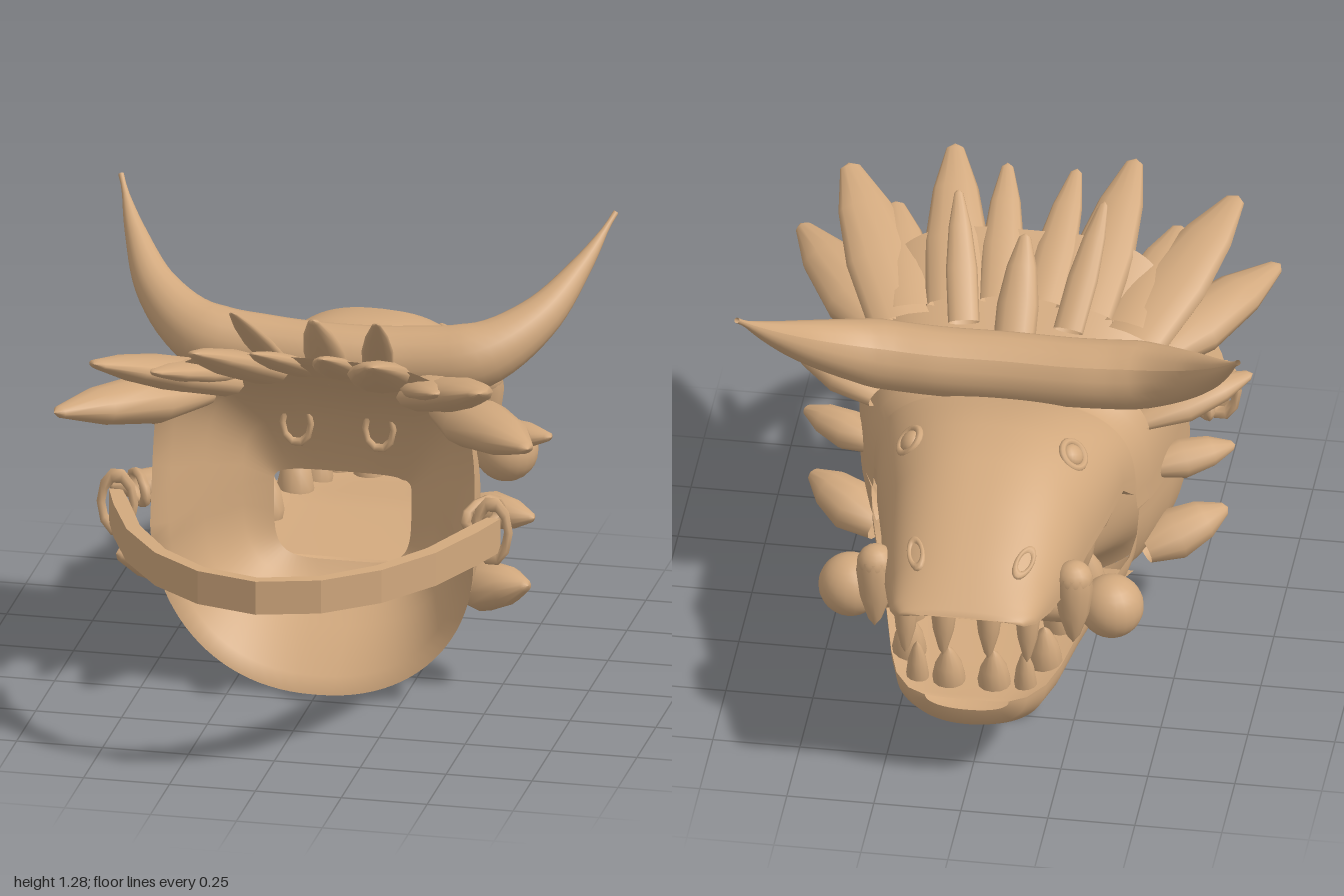
import * as THREE from 'three';

const hide = new THREE.MeshStandardMaterial({ color: 0xd2a97e, side: THREE.DoubleSide });
hide.name = 'tan hide';
const V = (x, y, z) => new THREE.Vector3(x, y, z);

// Smooth surface from a grid of points: at(row, u) with u running 0..1
function gridGeometry(rows, cols, at) {
  const pos = [], idx = [];
  for (let i = 0; i < rows; i++) for (let j = 0; j <= cols; j++) pos.push(...at(i, j / cols));
  for (let i = 0; i < rows - 1; i++) for (let j = 0; j < cols; j++) {
    const a = i * (cols + 1) + j, b = a + cols + 1;
    idx.push(a, a + 1, b, a + 1, b + 1, b);
  }
  const g = new THREE.BufferGeometry();
  g.setAttribute('position', new THREE.Float32BufferAttribute(pos, 3));
  g.setIndex(idx);
  g.computeVertexNormals();
  return g;
}

// Superellipse coordinates on the unit square
function rounded(angle, n) {
  const c = Math.cos(angle), s = Math.sin(angle);
  return [Math.sign(c) * Math.abs(c) ** (2 / n), Math.sign(s) * Math.abs(s) ** (2 / n)];
}

// Arched jaw shell; section = [z, halfWidth, edgeY, crownY, squareness, rimBulge, crownLean]
const jawShell = (sections) => gridGeometry(sections.length, 48, (i, u) => {
  const [z, w, edge, crown, n, bulge = 0, lean = 0] = sections[i];
  const [c, s0] = rounded(Math.PI * u, n), s = Math.max(0, s0);
  return [c * w, edge + (crown - edge) * s, z + bulge * (1 - s) ** 2 + lean * s ** 3];
});

// Inside of the mouth, sunk a little into the jaw
const mouthLining = (sections, sink) => gridGeometry(sections.length, 12, (i, u) => {
  const [z, w, edge, crown] = sections[i], t = 2 * u - 1;
  return [t * w, edge + (crown - edge) * sink * (1 - t ** 4), z];
});

const UPPER = [
  [0.2, 0.47, 0.5, 1.08, 4, 0.06, 0.16], [0.13, 0.465, 0.5, 1.0, 3.8, 0.04, 0.08],
  [0.05, 0.45, 0.5, 0.92, 3.5, 0.03], [-0.08, 0.41, 0.5, 0.85, 3],
  [-0.145, 0.38, 0.5, 0.85, 3], [-0.16, 0.375, 0.58, 0.855, 2.8], [-0.25, 0.355, 0.63, 0.885, 2.5],
  [-0.4, 0.33, 0.62, 0.92, 2.4], [-0.55, 0.295, 0.605, 0.9, 2.4], [-0.7, 0.27, 0.595, 0.84, 2.4],
  [-0.85, 0.235, 0.605, 0.765, 2.4], [-0.95, 0.21, 0.63, 0.7, 2.4], [-0.99, 0.18, 0.645, 0.68, 2.4],
  [-1, 0.13, 0.66, 0.665, 2.4],
];
const LOWER = [
  [0.2, 0.47, 0.5, 0, 2.2, 0.06], [0.05, 0.45, 0.5, 0.055, 2.2, 0.03], [-0.08, 0.41, 0.5, 0.1, 2.2],
  [-0.145, 0.385, 0.5, 0.12, 2.2], [-0.16, 0.38, 0.42, 0.125, 2.2], [-0.2, 0.365, 0.37, 0.14, 2.2],
  [-0.4, 0.315, 0.365, 0.18, 2.2], [-0.55, 0.28, 0.355, 0.17, 2.2], [-0.7, 0.245, 0.325, 0.155, 2.2],
  [-0.8, 0.215, 0.32, 0.165, 2.2], [-0.87, 0.17, 0.32, 0.21, 2.2], [-0.885, 0.12, 0.31, 0.27, 2.2],
];
// Hollow behind the face: [z, halfWidth, bottom, top, lowerSquareness, rimBulge, crownLean]
const HOLLOW = [
  [0.2, 0.47, 0, 1.08, 2.2, 0.06, 0.16], [0.18, 0.42, 0.05, 1.04, 2.3, 0.05, 0.14],
  [0.03, 0.36, 0.15, 0.88, 2.6, 0.02, 0], [-0.1, 0.28, 0.22, 0.72, 3, 0, 0], [-0.15, 0.2, 0.28, 0.55, 5, 0, 0],
];

// Pointed leaf, feather or tooth from base to tip, flattened along the direction nearest to 'up'
const LEAF = [[0.6, 0], [1, 0.35], [0.75, 0.7], [0.25, 0.96], [0, 1]];
const FEATHER = [[1, 0], [1, 0.4], [0.72, 0.72], [0.28, 0.97], [0, 1]];
const FANG = [[0.9, 0], [1, 0.2], [0.8, 0.55], [0.35, 0.88], [0, 1]];
function spike(base, tip, radius, flat, profile, up = V(0, 1, 0)) {
  const dir = tip.clone().sub(base), length = dir.length();
  const y = dir.normalize(), x = y.clone().cross(up).normalize(), z = x.clone().cross(y);
  const g = new THREE.LatheGeometry(profile.map(([r, h]) => new THREE.Vector2(r * radius, h * length)), 12);
  g.scale(1, 1, flat);
  g.applyMatrix4(new THREE.Matrix4().makeBasis(x, y, z).setPosition(base));
  return g;
}

export function createModel() {
  const model = new THREE.Group();
  model.name = 'dragonMask';
  const add = (name, geometry, position, scale) => {
    const m = new THREE.Mesh(geometry, hide);
    m.name = name;
    if (position) m.position.copy(position);
    if (scale) m.scale.copy(scale);
    model.add(m);
    return m;
  };

  // Head shell, its crown sweeping back into the crest
  add('upperHead', jawShell(UPPER));
  add('lowerJaw', jawShell(LOWER));
  add('palate', mouthLining([[-0.15, 0.37, 0.55, 0.55], ...UPPER.slice(6)], 0.3));
  add('mouthFloor', mouthLining([[-0.15, 0.37, 0.29, 0.28], ...LOWER.slice(6)], 0.1));
  add('innerFace', gridGeometry(HOLLOW.length, 72, (i, u) => {
    const [z, w, lo, hi, n, bulge, lean] = HOLLOW[i];
    const [c, s] = rounded(2 * Math.PI * u, u < 0.5 ? 4 : n);
    const y = 0.5 + s * (s > 0 ? hi - 0.5 : 0.5 - lo);
    return [c * w, y, z + bulge * (1 - Math.abs(s)) ** 2 + lean * Math.max(0, s) ** 3];
  }));
  add('crestSpike', spike(V(0, 0.9, 0.0), V(0, 1.15, 0.24), 0.06, 0.6, FEATHER));

  // Pair of horns as one bar swept across the brow
  const halfHorn = [[0.72, 1.27, -0.49], [0.65, 1.15, -0.36], [0.55, 1.03, -0.22], [0.4, 0.945, -0.12], [0.2, 0.92, -0.1]];
  const path = new THREE.CatmullRomCurve3([
    ...halfHorn.map(([x, y, z]) => V(-x, y, z)), V(0, 0.915, -0.09),
    ...halfHorn.map(([x, y, z]) => V(x, y, z)).reverse()]);
  const horn = new THREE.TubeGeometry(path, 60, 1, 16);
  const p = horn.attributes.position, q = V(0, 0, 0);
  for (let i = 0; i < p.count; i++) {
    const t = Math.floor(i / 17) / 60, centre = path.getPointAt(t);
    const r = Math.max(0.008, 0.1 * Math.min(1, (1 - Math.abs(2 * t - 1)) / 0.62));
    q.fromBufferAttribute(p, i).sub(centre).multiplyScalar(r).add(centre);
    p.setXYZ(i, q.x, q.y, q.z);
  }
  horn.computeVertexNormals();
  add('horns', horn);

  for (const s of [-1, 1]) {
    // Crest feathers, ears and cheek spikes: [name, base, tip, radius, flatness, profile]
    const leaves = [
      ['crestFeather', [0.06, 0.97, 0.15], [0.1, 1.16, 0.57], 0.06, 0.45, FEATHER],
      ['crestFeather', [0.18, 0.95, 0.14], [0.26, 1.17, 0.63], 0.09, 0.45, FEATHER],
      ['crestFeather', [0.15, 0.95, 0.06], [0.21, 1.2, 0.36], 0.045, 0.5, FEATHER],
      ['crestFeather', [0.32, 0.9, 0.1], [0.56, 1.1, 0.59], 0.11, 0.45, FEATHER],
      ['crestFeather', [0.31, 0.93, 0.12], [0.41, 1.05, 0.49], 0.085, 0.4, FEATHER],
      ['ear', [0.36, 0.85, 0.08], [0.69, 0.92, 0.53], 0.105, 0.65, LEAF],
      ['cheekSpike', [0.38, 0.74, -0.04], [0.67, 0.81, 0.13], 0.075, 0.65, LEAF],
      ['cheekSpike', [0.4, 0.54, 0.02], [0.62, 0.56, 0.13], 0.065, 0.85, LEAF],
      ['cheekSpike', [0.38, 0.28, -0.02], [0.6, 0.35, 0.12], 0.085, 0.85, LEAF],
    ];
    for (const [name, [bx, by, bz], [tx, ty, tz], r, flat, profile] of leaves) {
      add(name, spike(V(s * bx, by, bz), V(s * tx, ty, tz), r, flat, profile));
    }

    // Teeth: [x, z, baseY, tipY, radius]
    const teeth = [
      [0.29, -0.24, 0.65, 0.49, 0.045], [0.26, -0.44, 0.65, 0.46, 0.048], [0.285, -0.73, 0.66, 0.44, 0.056],
      [0.175, -0.88, 0.64, 0.46, 0.036], [0.065, -0.89, 0.65, 0.47, 0.038],
      [0.26, -0.31, 0.33, 0.47, 0.055], [0.22, -0.52, 0.32, 0.47, 0.055], [0.195, -0.68, 0.3, 0.45, 0.05],
      [0.155, -0.79, 0.29, 0.44, 0.033], [0.065, -0.79, 0.29, 0.43, 0.048],
    ];
    for (const [x, z, y0, y1, r] of teeth) {
      add(y1 < y0 ? 'upperTooth' : 'lowerTooth',
        spike(V(s * x, y0, z), V(s * x, y1, z - 0.02), r, 1, FANG, V(0, 0, 1)));
    }
    add('fangRoot', new THREE.SphereGeometry(0.054, 14, 10), V(s * 0.285, 0.645, -0.73));

    // Eyes, nostrils and the sockets on the inner face
    const out = V(s * 0.7, 0.7, -0.25).normalize();
    const face = (m, d) => m.quaternion.setFromUnitVectors(V(0, 0, 1), d);
    const eye = V(s * 0.235, 0.85, -0.41);
    face(add('eyeRim', new THREE.TorusGeometry(0.041, 0.011, 8, 20), eye), out);
    face(add('eye', new THREE.SphereGeometry(0.033, 14, 10), eye, V(1, 1, 0.6)), out);
    const nostril = add('nostril', new THREE.TorusGeometry(0.03, 0.01, 8, 18), V(s * 0.155, 0.747, -0.82), V(0.7, 1.6, 1));
    face(nostril, V(s * 0.4, 0.8, -0.35).normalize());
    nostril.rotateZ(-0.35 * s);
    add('innerSocket', new THREE.TorusGeometry(0.046, 0.01, 6, 10), V(s * 0.12, 0.71, -0.09), V(0.9, 1.3, 1));

    // Bone knob and strap rings
    add('boneKnob', new THREE.SphereGeometry(0.092, 20, 14), V(s * 0.375, 0.48, -0.61));
    add('strapRing', new THREE.TorusGeometry(0.06, 0.016, 6, 10), V(s * 0.545, 0.595, 0.35), V(0.8, 1.4, 1));
    const link = add('strapLink', new THREE.TorusGeometry(0.06, 0.015, 6, 10), V(s * 0.5, 0.615, 0.27), V(1.3, 0.7, 1));
    link.rotation.y = s * 1.1;
  }
  const bone = add('boneBar', new THREE.CylinderGeometry(0.055, 0.055, 0.75, 18), V(0, 0.475, -0.61));
  bone.rotation.z = Math.PI / 2;

  // Flat strap around the back of the wearer's head
  const half = [[0.57, 0.34], [0.53, 0.46], [0.45, 0.65], [0.33, 0.82], [0.18, 0.94]];
  const line = [...half, [0, 0.99], ...half.map(([x, z]) => [-x, z]).reverse()];
  const inset = line.map(([x, z]) => [x * 0.93, z > 0.4 ? z - 0.035 : z]).reverse();
  const strap = new THREE.ExtrudeGeometry(
    new THREE.Shape([...line, ...inset].map(([x, z]) => new THREE.Vector2(x, z))),
    { depth: 0.1, bevelEnabled: false });
  strap.rotateX(Math.PI / 2);
  add('strap', strap, V(0, 0.635, 0.01));

  return model;
}
